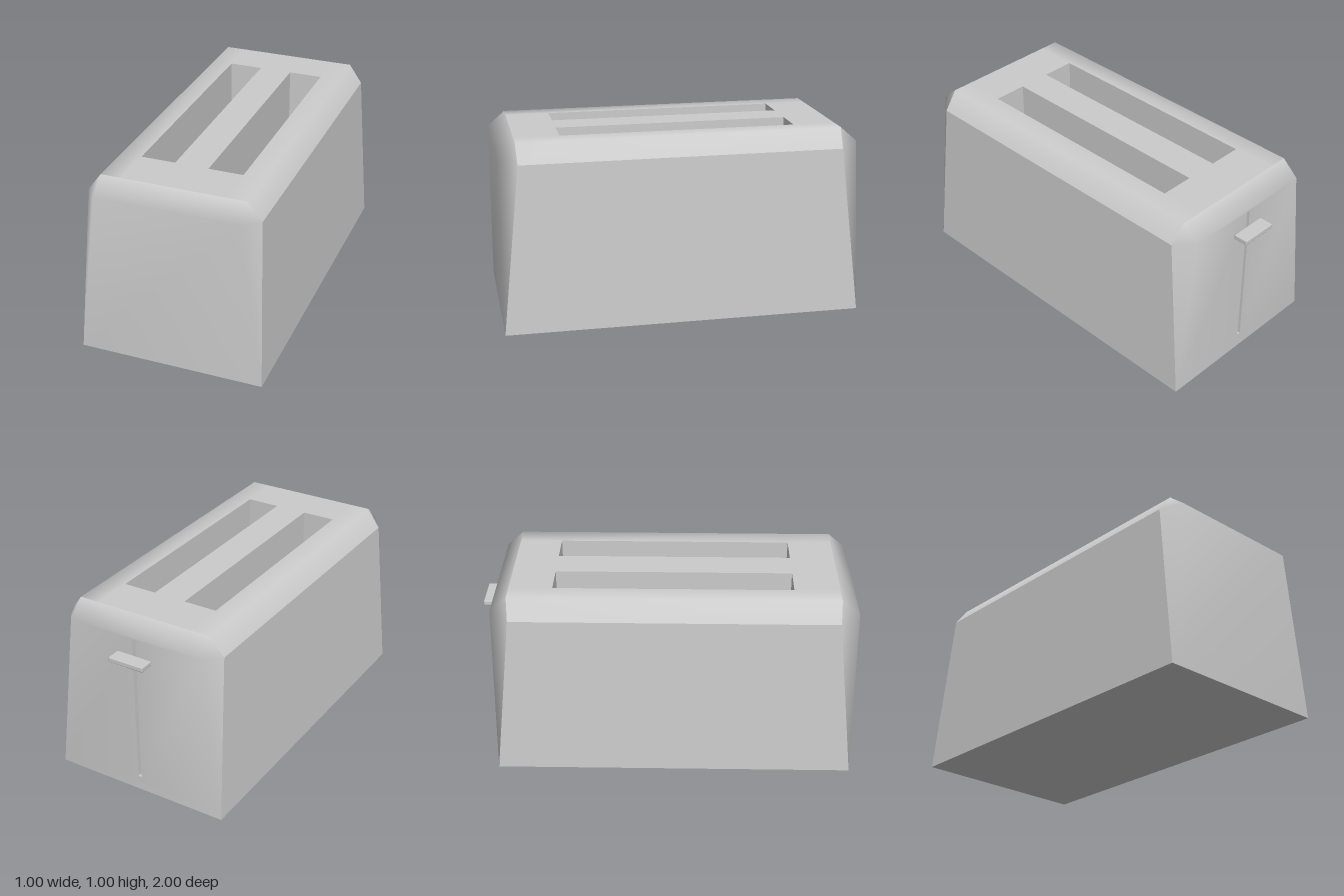
import * as THREE from 'three';
import { RoundedBoxGeometry } from 'three/addons/geometries/RoundedBoxGeometry.js';

const grey = new THREE.MeshStandardMaterial({ color: 0xcccccc });

// Mesh from points and quads/triangles; every face is turned away from (or toward) a centre.
function skin(name, points, faces, { centre = [0, 0.45, 0], inward = false, flat = false } = {}) {
  const v = points.map(p => new THREE.Vector3(...p));
  const c = new THREE.Vector3(...centre);
  const index = [];
  for (const f of faces) {
    for (let i = 1; i < f.length - 1; i++) {
      const [a, b, d] = [f[0], f[i], f[i + 1]];
      const n = v[b].clone().sub(v[a]).cross(v[d].clone().sub(v[a]));
      const outward = n.dot(v[a].clone().sub(c)) > 0;
      index.push(...(outward !== inward ? [a, b, d] : [a, d, b]));
    }
  }
  let g = new THREE.BufferGeometry().setFromPoints(v);
  g.setIndex(index);
  if (flat) g = g.toNonIndexed();
  g.computeVertexNormals();
  const mesh = new THREE.Mesh(g, grey);
  mesh.name = name;
  return mesh;
}

// Recess lined on five sides; open is the face left out (3 = top, 4 = back).
function pocket(name, [x0, x1], [y0, y1], [z0, z1], open) {
  const points = [];
  for (let i = 0; i < 8; i++) points.push([i & 1 ? x1 : x0, i & 2 ? y1 : y0, i & 4 ? z1 : z0]);
  const faces = [[0, 2, 6, 4], [1, 3, 7, 5], [0, 1, 5, 4], [2, 3, 7, 6], [0, 1, 3, 2], [4, 5, 7, 6]];
  faces.splice(open, 1);
  const centre = [(x0 + x1) / 2, (y0 + y1) / 2, (z0 + z1) / 2];
  return skin(name, points, faces, { centre, inward: true, flat: true });
}

// End wall with its sloped top edge and folded corners, optionally split round a slit.
function endWall(name, z, zTop, zSide, slit) {
  const points = [
    [-0.5, 0, z], [0.5, 0, z], [0.385, 0.92, z], [-0.385, 0.92, z],
    [-0.385, 1, zTop], [0.385, 1, zTop], [-0.46, 0.9, zSide], [0.46, 0.9, zSide],
  ];
  const faces = [[3, 2, 5, 4], [0, 3, 6], [1, 2, 7], [3, 4, 6], [2, 5, 7]];
  if (slit) {
    const [w, y0, y1] = slit;
    points.push([-w, y0, z], [w, y0, z], [w, y1, z], [-w, y1, z]);
    for (let i = 0; i < 4; i++) {
      const j = (i + 1) % 4;
      faces.push([i, j, 8 + j, 8 + i]);
    }
  } else faces.push([0, 1, 2, 3]);
  return skin(name, points, faces);
}

export function createModel() {
  const model = new THREE.Group();
  model.name = 'toaster';

  // Top with sloped long edges, leaving two openings
  const xs = [-0.46, -0.385, -0.275, -0.09, 0.09, 0.275, 0.385, 0.46];
  const topZ = [-0.83, -0.6, 0.665, 0.905], sideZ = [-0.82, -0.6, 0.665, 0.9];
  const points = [], faces = [];
  xs.forEach((x, i) => {
    const rim = i === 0 || i === 7;
    for (let k = 0; k < 4; k++) points.push([x, rim ? 0.9 : 1, (rim ? sideZ : topZ)[k]]);
  });
  for (let i = 0; i < 7; i++) {
    for (let k = 0; k < 3; k++) {
      if (k === 1 && (i === 2 || i === 4)) continue;
      const a = i * 4 + k;
      faces.push([a, a + 1, a + 5, a + 4]);
    }
  }
  model.add(skin('top', points, faces));

  // Bread slots
  model.add(pocket('rightBreadSlot', [-0.275, -0.09], [0.2, 1], [-0.6, 0.665], 3));
  model.add(pocket('leftBreadSlot', [0.09, 0.275], [0.2, 1], [-0.6, 0.665], 3));

  // Leaning side walls
  for (const s of [-1, 1]) {
    model.add(skin(s < 0 ? 'rightSide' : 'leftSide',
      [[s * 0.5, 0, 1], [s * 0.5, 0, -0.92], [s * 0.46, 0.9, -0.82], [s * 0.46, 0.9, 0.9]],
      [[0, 1, 2, 3]]));
  }

  // End walls and base
  model.add(endWall('frontWall', 1, 0.905, 0.9));
  model.add(endWall('backWall', -0.92, -0.83, -0.82, [0.01, 0.08, 0.91]));
  model.add(skin('base', [[-0.5, 0, -0.92], [0.5, 0, -0.92], [0.5, 0, 1], [-0.5, 0, 1]], [[0, 1, 2, 3]]));

  // Lever track and lever
  model.add(pocket('leverTrack', [-0.01, 0.01], [0.08, 0.91], [-0.92, -0.87], 4));
  const lever = new THREE.Mesh(new RoundedBoxGeometry(0.205, 0.028, 0.08, 1, 0.006), grey);
  lever.name = 'lever';
  lever.position.set(0, 0.806, -0.96);
  model.add(lever);

  return model;
}
